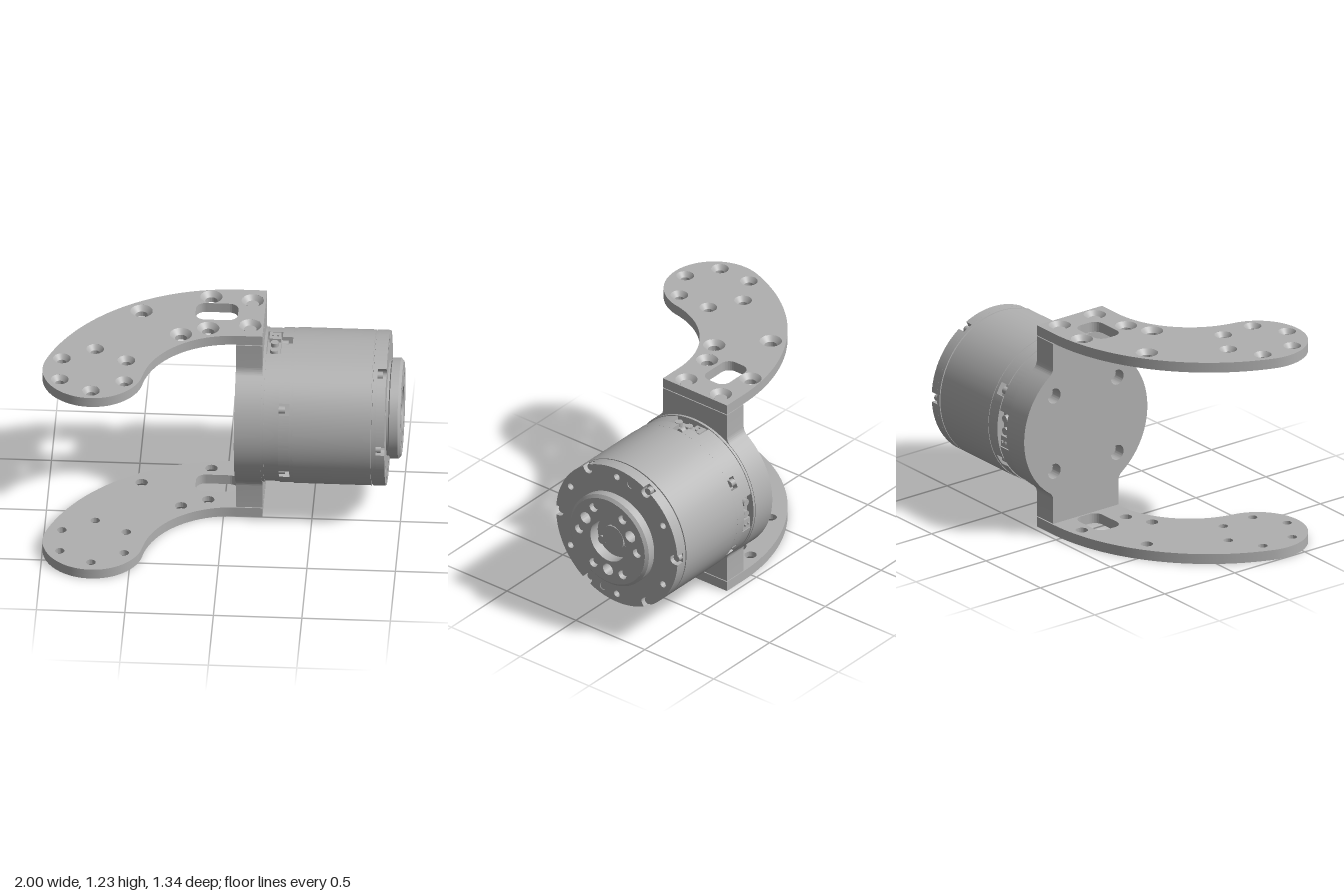
import * as THREE from 'three';
import { toCreasedNormals } from 'three/addons/utils/BufferGeometryUtils.js';

const PI = Math.PI;
const metal = new THREE.MeshStandardMaterial({ color: 0xb0b0b0 });
metal.name = 'grey metal';

function add(parent, name, geometry) {
  const mesh = new THREE.Mesh(geometry, metal);
  mesh.name = name;
  parent.add(mesh);
  return mesh;
}

function circlePath(x, y, r) {
  return new THREE.Path().absarc(x, y, r, 0, 2 * PI, false);
}

// Extrusion from z0 to z1 with smooth curved sides and sharp edges
function slab(shape, z0, z1) {
  const g = new THREE.ExtrudeGeometry(shape, { depth: z1 - z0, bevelEnabled: false, curveSegments: 24 });
  return toCreasedNormals(g.translate(0, 0, z0), 0.5);
}

// Turned part around the z axis, profile as [radius, z]
function turned(points) {
  const g = new THREE.LatheGeometry(points.map(p => new THREE.Vector2(p[0], p[1])), 96);
  return toCreasedNormals(g.rotateX(PI / 2), 0.5);
}

// Rod along z
function rod(x, y, r, z0, z1) {
  return new THREE.CylinderGeometry(r, r, z1 - z0, 24).rotateX(PI / 2).translate(x, y, (z0 + z1) / 2);
}

function polar(r, degrees) {
  const a = degrees * PI / 180;
  return [r * Math.cos(a), r * Math.sin(a)];
}

// Disc with square or round-ended notches cut into its rim
function notchedDisc(R, degrees, half, inner, round) {
  const s = new THREE.Shape();
  const da = Math.asin(half / R);
  const angles = degrees.map(d => d * PI / 180);
  angles.forEach((a, i) => {
    const at = (r, t) => [r * Math.cos(a) - t * Math.sin(a), r * Math.sin(a) + t * Math.cos(a)];
    const start = at(R * Math.cos(da), -half);
    if (i === 0) s.moveTo(...start);
    if (round) {
      s.lineTo(...at(inner + half, -half));
      s.absarc(...at(inner + half, 0), half, a - PI / 2, a - 1.5 * PI, true);
    } else {
      s.lineTo(...at(inner, -half));
      s.lineTo(...at(inner, half));
    }
    s.lineTo(...at(R * Math.cos(da), half));
    const next = i + 1 < angles.length ? angles[i + 1] : angles[0] + 2 * PI;
    s.absarc(0, 0, R, a + da, next - da, false);
  });
  return s;
}

// Curved arm outline in x and z, with bolt holes and a rounded slot
const lobeHoles = [30, 90, 150, 210, 270, 330].map(d => {
  const [x, z] = polar(0.21, d);
  return [x - 0.715, z + 0.385, 0.05, 0.027];
});
const screwHoles = [[0.145, -0.36], [0.145, -0.11]];
const armHoles = [[-0.09, -0.385], [-0.475, -0.22], [-0.24, 0], [-0.09, -0.07], ...screwHoles]
  .map(p => [...p, 0.063, 0.035]).concat(lobeHoles);

function armShape(radiusIndex) {
  const s = new THREE.Shape();
  const outer = Math.atan2(-0.263, -0.785), inner = Math.atan2(-0.125, -0.785);
  s.moveTo(0.22, -0.465);
  s.lineTo(0.07, -0.465);
  s.absarc(0.07, 0.648, 1.113, -PI / 2, outer, true);
  s.absarc(-0.715, 0.385, 0.285, outer, inner - PI, true);
  s.absarc(0.07, 0.51, 0.51, inner, -PI / 2, false);
  s.lineTo(0.22, 0);
  s.closePath();
  armHoles.forEach(h => s.holes.push(circlePath(h[0], h[1], h[radiusIndex])));
  const slot = new THREE.Path();
  const x0 = -0.17, x1 = 0.07, z0 = -0.32, z1 = -0.155, r = 0.055;
  slot.absarc(x1 - r, z1 - r, r, 0, PI / 2, false);
  slot.absarc(x0 + r, z1 - r, r, PI / 2, PI, false);
  slot.absarc(x0 + r, z0 + r, r, PI, 1.5 * PI, false);
  slot.absarc(x1 - r, z0 + r, r, 1.5 * PI, 2 * PI, false);
  slot.closePath();
  s.holes.push(slot);
  return s;
}

// Arm plate: a countersunk outer layer on a layer with narrow holes
function armPlate(name, yOuter, dir) {
  const g = new THREE.Group();
  g.name = name;
  const yMid = yOuter - dir * 0.028, yInner = yOuter - dir * 0.06;
  const layer = (index, a, b) => slab(armShape(index), -Math.max(a, b), -Math.min(a, b)).rotateX(PI / 2);
  add(g, 'outerLayer', layer(2, yOuter, yMid));
  add(g, 'innerLayer', layer(3, yMid, yInner));
  armHoles.forEach(([x, z, big, small]) => {
    const cone = [new THREE.Vector2(big, yOuter), new THREE.Vector2(small, yMid)];
    if (dir < 0) cone.reverse();
    add(g, 'countersink', new THREE.LatheGeometry(cone, 32).translate(x, 0, z));
  });
  screwHoles.forEach(([x, z]) => {
    const y = yOuter - dir * 0.042;
    add(g, 'plateScrew', new THREE.CylinderGeometry(0.035, 0.035, 0.036, 24).translate(x, y, z));
  });
  return g;
}

// Upright bracket: a disc blended by fillets into a straight bar
function bracketShape() {
  const w = 0.2325, h = 0.55, R = 0.44, f = 0.06;
  const cx = w + f, cy = Math.sqrt((R + f) ** 2 - cx * cx), a = Math.atan2(cy, cx);
  const s = new THREE.Shape();
  s.absarc(0, 0, R, -a, a, false);
  s.absarc(cx, cy, f, a - PI, -PI, true);
  s.lineTo(w, h);
  s.lineTo(-w, h);
  s.absarc(-cx, cy, f, 0, -a, true);
  s.absarc(0, 0, R, PI - a, PI + a, false);
  s.absarc(-cx, -cy, f, a, 0, true);
  s.lineTo(-w, -h);
  s.lineTo(w, -h);
  s.absarc(cx, -cy, f, PI, PI - a, true);
  return s;
}

export function createModel() {
  const model = new THREE.Group();
  model.name = 'bracketedActuator';
  model.add(armPlate('upperArm', 1.23, 1), armPlate('lowerArm', 0, -1));

  // Everything on the drive axis: local z is the shaft direction
  const drive = new THREE.Group();
  drive.name = 'drive';
  drive.rotation.y = PI / 2;
  drive.position.set(0, 0.615, -0.2325);
  model.add(drive);

  const bracket = bracketShape();
  for (const x of [-0.225, 0.225]) for (const y of [-0.23, 0.23]) {
    bracket.holes.push(circlePath(x, y, 0.045));
    add(drive, 'bracketScrew', rod(x, y, 0.036, 0.13, 0.22));
  }
  add(drive, 'bracket', slab(bracket, 0.07, 0.22));

  // Housing core with recessed bands and a seam groove
  add(drive, 'housing', turned([[0, 0.22], [0.437, 0.22], [0.437, 0.235], [0.355, 0.235], [0.355, 0.32],
    [0.39, 0.32], [0.39, 0.38], [0.437, 0.38], [0.437, 0.4], [0.44, 0.4], [0.44, 0.84], [0.433, 0.841],
    [0.433, 0.847], [0.44, 0.848], [0.44, 0.87], [0, 0.87]]));

  // Rear ring with three connector bays
  add(drive, 'rearRing', slab(notchedDisc(0.432, [0, 90, 270], 0.11, 0.365, false), 0.235, 0.32));
  for (const d of [0, 90, 270]) {
    const bay = new THREE.Group();
    bay.name = 'connector';
    bay.rotation.z = (d - 90) * PI / 180;
    drive.add(bay);
    add(bay, 'connectorBase', new THREE.BoxGeometry(0.2, 0.03, 0.07).translate(0, 0.38, 0.277));
    add(bay, 'socket', new THREE.BoxGeometry(0.065, 0.05, 0.065).translate(0.07, 0.395, 0.277));
    for (const z of [0.262, 0.292])
      add(bay, 'pin', new THREE.BoxGeometry(0.012, 0.01, 0.012).translate(0.07, 0.424, z));
    for (const x of [0.005, -0.07])
      add(bay, 'terminal', new THREE.CylinderGeometry(0.022, 0.022, 0.03, 20).translate(x, 0.405, 0.277));
  }

  // Middle ring and front cap, each with six screw notches
  const sixty = [0, 60, 120, 180, 240, 300];
  add(drive, 'middleRing', slab(notchedDisc(0.437, sixty.map(d => d + 30), 0.036, 0.393, false), 0.32, 0.38));
  const cap = notchedDisc(0.44, sixty, 0.03, 0.388, true);
  for (const d of sixty) {
    add(drive, 'middleScrew', rod(...polar(0.412, d + 30), 0.021, 0.32, 0.355));
    add(drive, 'capScrew', rod(...polar(0.417, d), 0.021, 0.86, 0.9));
    cap.holes.push(circlePath(...polar(0.387, d + 30), 0.02));
  }
  for (const s of [-1, 1]) {
    cap.holes.push(circlePath(s * 0.1, s * 0.374, 0.024));
    add(drive, 'dowel', rod(s * 0.1, s * 0.374, 0.023, 0.86, 0.917));
  }
  add(drive, 'frontCap', slab(cap, 0.87, 0.92));

  // Output flange: chamfered rim around a drilled face
  add(drive, 'outputNeck', turned([[0.27, 0.87], [0.27, 0.932], [0.285, 0.938], [0.285, 0.985], [0.268, 1]]));
  add(drive, 'flangeFloor', rod(0, 0, 0.26, 0.88, 0.935));
  const face = new THREE.Shape().absarc(0, 0, 0.268, 0, 2 * PI, false);
  face.holes.push(circlePath(0, 0, 0.127));
  for (const d of sixty) {
    face.holes.push(circlePath(...polar(0.21, d), 0.028));
    add(drive, 'flangeScrew', rod(...polar(0.21, d), 0.02, 0.93, 0.975));
  }
  for (const d of [30, 150, 270]) {
    face.holes.push(circlePath(...polar(0.187, d), 0.036));
    add(drive, 'borePad', rod(...polar(0.1, d + 180), 0.025, 0.93, 0.95));
  }
  add(drive, 'flangeFace', slab(face, 0.935, 1));
  add(drive, 'shaftHub', rod(0, 0, 0.075, 0.93, 0.955));
  return model;
}
